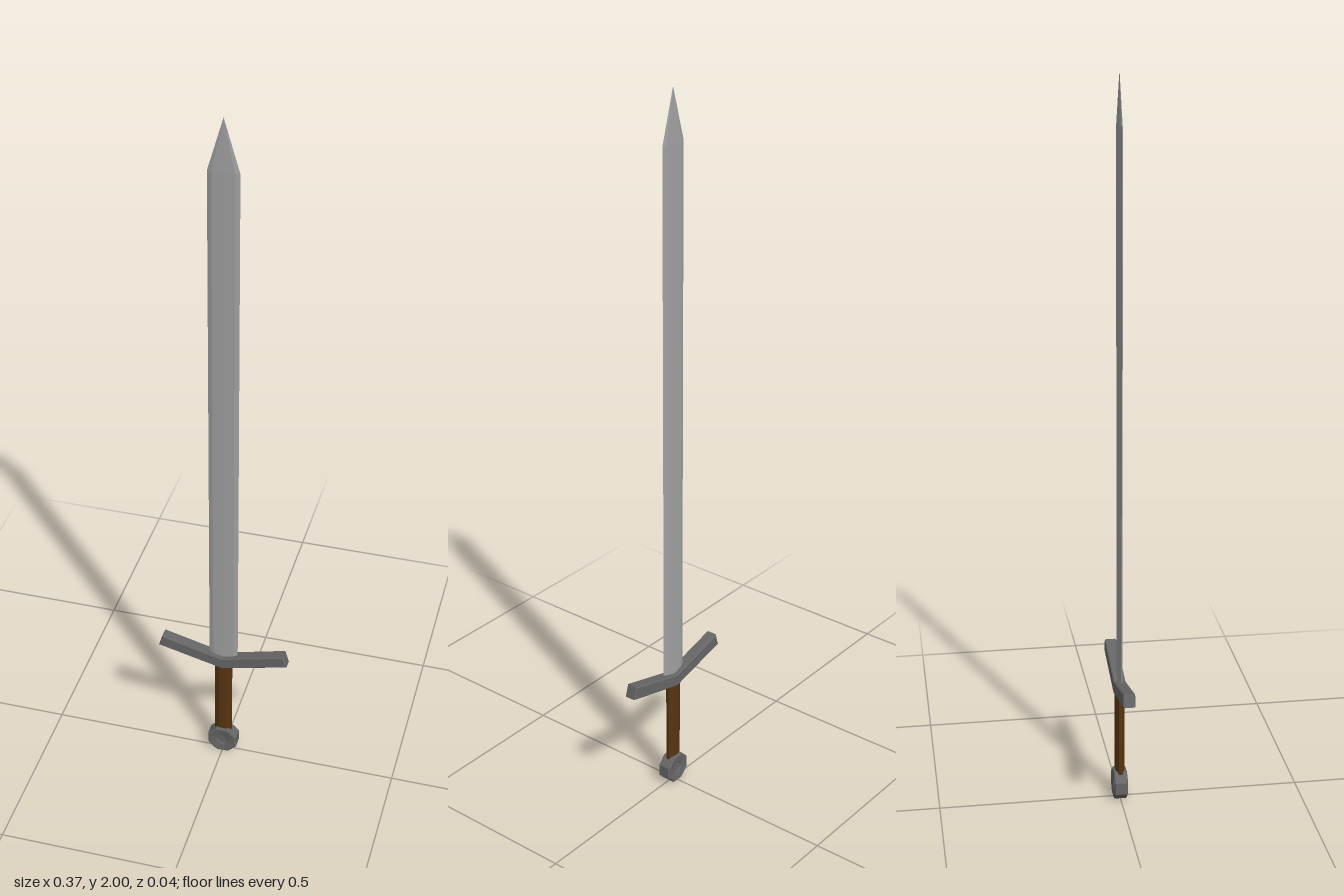
import * as THREE from 'three';

const mat = (color) => new THREE.MeshStandardMaterial({ color, flatShading: true });

function add(group, name, geometry, material) {
  const mesh = new THREE.Mesh(geometry, material);
  mesh.name = name;
  group.add(mesh);
  return mesh;
}

// Flat hexagonal section with a faint central ridge, lofted up to a point
function bladeGeometry() {
  const section = [[0.041, 0], [0.029, 0.0042], [0, 0.005], [-0.029, 0.0042],
    [-0.041, 0], [-0.029, -0.0042], [0, -0.005], [0.029, -0.0042]];
  const n = section.length;
  const positions = [];
  for (const y of [0.33, 1.86]) for (const [x, z] of section) positions.push(x, y, z);
  positions.push(0, 2, 0, 0, 0.33, 0);
  const tip = 2 * n, base = tip + 1;
  const index = [];
  for (let i = 0; i < n; i++) {
    const j = (i + 1) % n;
    index.push(i, n + i, j, j, n + i, n + j);
    index.push(n + i, tip, n + j);
    index.push(base, i, j);
  }
  const indexed = new THREE.BufferGeometry();
  indexed.setAttribute('position', new THREE.Float32BufferAttribute(positions, 3));
  indexed.setIndex(index);
  const g = indexed.toNonIndexed();
  g.computeVertexNormals();
  return g;
}

// V-shaped bar with chamfered edges
function guardGeometry() {
  const bevel = 0.003;
  const shape = new THREE.Shape([
    [0, 0.315 + bevel], [0.182, 0.361 + bevel], [0.173, 0.397 - bevel],
    [0, 0.351 - bevel], [-0.173, 0.397 - bevel], [-0.182, 0.361 + bevel],
  ].map(([x, y]) => new THREE.Vector2(x, y)));
  const depth = 0.027;
  const g = new THREE.ExtrudeGeometry(shape, {
    depth, bevelEnabled: true, bevelSize: bevel, bevelThickness: bevel, bevelSegments: 1,
  });
  return g.translate(0, 0, -depth / 2);
}

// Octagonal disc with a dished recess on both faces
function pommelGeometry() {
  const profile = [[0, -0.013], [0.014, -0.013], [0.019, -0.016], [0.04, -0.019],
    [0.045, -0.016], [0.045, 0.016], [0.04, 0.019], [0.019, 0.016], [0.014, 0.013], [0, 0.013]];
  const g = new THREE.LatheGeometry(profile.map(([r, z]) => new THREE.Vector2(r, z)), 8);
  return g.rotateY(Math.PI / 8).rotateX(Math.PI / 2).translate(0, 0.0416, 0);
}

export function createModel() {
  const sword = new THREE.Group();
  sword.name = 'sword';
  const darkSteel = mat(0x666666);

  add(sword, 'blade', bladeGeometry(), mat(0xa0a0a0));
  add(sword, 'guard', guardGeometry(), darkSteel);

  // Flattened octagonal wooden grip
  const grip = new THREE.CylinderGeometry(0.026, 0.026, 0.26, 8);
  grip.rotateY(Math.PI / 8).scale(1, 1, 0.5).translate(0, 0.2, 0);
  add(sword, 'grip', grip, mat(0x573510));

  add(sword, 'pommel', pommelGeometry(), darkSteel);
  return sword;
}
